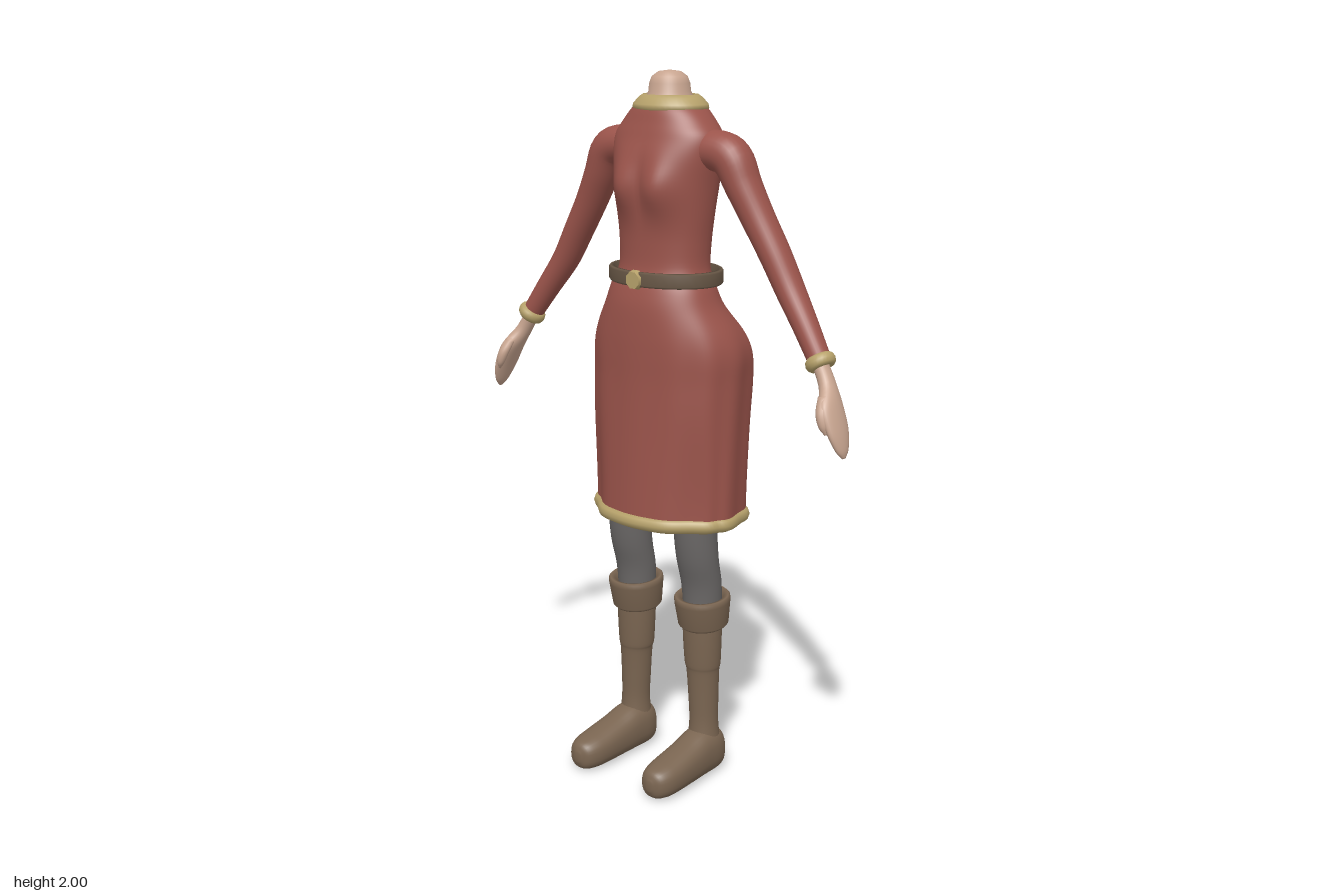
import * as THREE from 'three';

const paint = (name, color, side = THREE.FrontSide) => {
  const m = new THREE.MeshStandardMaterial({ color, side });
  m.name = name;
  return m;
};
const X = new THREE.Vector3(1, 0, 0), Y = new THREE.Vector3(0, 1, 0), Z = new THREE.Vector3(0, 0, 1);

function addMesh(parent, name, geometry, material) {
  const mesh = new THREE.Mesh(geometry, material);
  mesh.name = name;
  parent.add(mesh);
  return mesh;
}

// Superellipse cross-section in the plane spanned by A and B
function ring(c, A, B, ra, rb, n, power, deform) {
  const pts = [], e = 2 / power;
  for (let j = 0; j < n; j++) {
    const t = j / n * Math.PI * 2, co = Math.cos(t), si = Math.sin(t);
    const p = c.clone()
      .addScaledVector(A, ra * Math.sign(co) * Math.abs(co) ** e)
      .addScaledVector(B, rb * Math.sign(si) * Math.abs(si) ** e);
    if (deform) deform(p, t, c);
    pts.push(p);
  }
  return pts;
}

// Smooth skin over sections [x, y, z, radius along A, radius along B]
function loft(sections, A, { T = null, n = 28, steps = 5, power = 2, caps = true, deform = null } = {}) {
  const path = new THREE.CatmullRomCurve3(sections.map(s => new THREE.Vector3(s[0], s[1], s[2])), false, 'catmullrom', 0.5);
  const size = new THREE.CatmullRomCurve3(sections.map(s => new THREE.Vector3(s[3], s[4], 0)), false, 'catmullrom', 0.5);
  const rows = (sections.length - 1) * steps, pos = [], index = [];
  for (let i = 0; i <= rows; i++) {
    const t = i / rows, c = path.getPoint(t), r = size.getPoint(t);
    const B = A.clone().cross(T || path.getTangent(t)).normalize();
    for (const p of ring(c, A, B, r.x, r.y, n, power, deform)) pos.push(p.x, p.y, p.z);
  }
  for (let i = 0; i < rows; i++) for (let j = 0; j < n; j++) {
    const a = i * n + j, b = i * n + (j + 1) % n;
    index.push(a, a + n, b, b, a + n, b + n);
  }
  if (caps) {
    const k = pos.length / 3, last = rows * n;
    pos.push(...path.getPoint(0).toArray(), ...path.getPoint(1).toArray());
    for (let j = 0; j < n; j++) {
      const q = (j + 1) % n;
      index.push(k, j, q, k + 1, last + q, last + j);
    }
  }
  const g = new THREE.BufferGeometry();
  g.setAttribute('position', new THREE.Float32BufferAttribute(pos, 3));
  g.setIndex(index);
  g.computeVertexNormals();
  return g;
}

const lathe = profile => new THREE.LatheGeometry(profile.map(p => new THREE.Vector2(p[0], p[1])), 40);

// Skirt pleats, fuller seat, drawn-in front hem corners and bust shaping
function shapeTunic(p, t, c) {
  const step = THREE.MathUtils.smoothstep;
  const bell = (v, m, w) => Math.exp(-(((v - m) / w) ** 2));
  const fold = 1 - step(p.y, 1.15, 1.4);
  const s = 1 + (0.013 - 0.006 * Math.sin(t)) * fold * Math.cos(12 * (t + Math.PI / 2));
  p.x = c.x + (p.x - c.x) * s;
  p.z = c.z + (p.z - c.z) * s;
  const x = Math.abs(p.x), depth = p.z - c.z;
  p.z -= 0.03 * fold * bell(x, 0.2, 0.07) * step(-depth, 0, 0.08);
  p.z -= 0.02 * (1 - step(p.y, 0.8, 1.15)) * bell(x, 0.18, 0.06) * step(depth, 0, 0.06);
  p.z += 0.032 * bell(p.y, 1.7, 0.07) * bell(x, 0.06, 0.055) * step(depth, 0, 0.05);
}

export function createModel() {
  const model = new THREE.Group();
  const cloth = paint('red cloth', 0x9b544b, THREE.DoubleSide);
  const trim = paint('gold trim', 0xb7a26b);
  const belt = paint('belt leather', 0x685746);
  const boot = paint('boot leather', 0x7a6551);
  const hose = paint('grey hose', 0x6b6867);
  const skin = paint('skin', 0xc8a590);

  // Tunic and skirt in one piece, open at the hem
  addMesh(model, 'tunic', loft([
    [0, 0.78, -0.025, 0.228, 0.152],
    [0, 0.9, -0.028, 0.23, 0.15],
    [0, 1.05, -0.035, 0.232, 0.151],
    [0, 1.17, -0.043, 0.234, 0.155],
    [0, 1.25, -0.046, 0.235, 0.158],
    [0, 1.31, -0.04, 0.218, 0.151],
    [0, 1.38, -0.022, 0.178, 0.128],
    [0, 1.43, -0.018, 0.158, 0.112],
    [0, 1.48, -0.022, 0.137, 0.098],
    [0, 1.55, -0.025, 0.137, 0.098],
    [0, 1.63, -0.028, 0.145, 0.103],
    [0, 1.71, -0.033, 0.154, 0.11],
    [0, 1.78, -0.035, 0.164, 0.11],
    [0, 1.83, -0.04, 0.165, 0.102],
    [0, 1.865, -0.043, 0.142, 0.094],
    [0, 1.908, -0.044, 0.1, 0.08],
    [0, 1.922, -0.044, 0.06, 0.055],
  ], X, { T: Y, n: 96, power: 2.15, caps: false, deform: shapeTunic }), cloth);

  // Hem trim following the pleats
  const hemLine = ring(new THREE.Vector3(0, 0.785, -0.025), X, Z, 0.224, 0.15, 96, 2.15, shapeTunic);
  const hem = new THREE.TubeGeometry(new THREE.CatmullRomCurve3(hemLine, true), 144, 0.015, 8, true);
  hem.translate(0, -0.785, 0).scale(1, 1.3, 1).translate(0, 0.785, 0);
  addMesh(model, 'hemTrim', hem, trim);

  // Neck and sloping collar
  addMesh(model, 'neck', lathe([
    [0, 1.9], [0.075, 1.9], [0.066, 1.925], [0.057, 1.945], [0.055, 1.965], [0.048, 1.983], [0.03, 1.996], [0, 2],
  ]).translate(0, 0, -0.042), skin);
  const collar = addMesh(model, 'collar', lathe([
    [0.075, 1.896], [0.1, 1.895], [0.11, 1.901], [0.108, 1.912], [0.092, 1.929], [0.08, 1.937], [0.071, 1.932], [0.075, 1.896],
  ]), trim);
  collar.scale.z = 0.83;
  collar.position.z = -0.046;

  // Loose belt with a buckle
  const band = addMesh(model, 'belt', lathe([
    [0.157, 1.438], [0.168, 1.438], [0.172, 1.443], [0.172, 1.473], [0.168, 1.478], [0.157, 1.478], [0.157, 1.438],
  ]), belt);
  band.scale.z = 0.77;
  band.position.z = -0.027;
  const buckle = addMesh(model, 'buckle', new THREE.CylinderGeometry(0.024, 0.028, 0.016, 8), trim);
  buckle.rotation.set(Math.PI / 2, Math.PI / 8, 0);
  buckle.position.set(0, 1.456, 0.104);

  for (const s of [1, -1]) {
    const side = s > 0 ? 'left' : 'right';
    const flip = rows => rows.map(([x, ...rest]) => [x * s, ...rest]);

    // Sleeve, cuff and hand
    const arm = new THREE.Group();
    arm.name = side + 'Arm';
    model.add(arm);
    addMesh(arm, 'sleeve', loft(flip([
      [0.1, 1.79, -0.042, 0.06, 0.058],
      [0.16, 1.797, -0.042, 0.058, 0.054],
      [0.213, 1.778, -0.042, 0.056, 0.055],
      [0.25, 1.71, -0.045, 0.052, 0.048],
      [0.295, 1.63, -0.05, 0.047, 0.044],
      [0.35, 1.54, -0.053, 0.045, 0.041],
      [0.4, 1.455, -0.052, 0.042, 0.038],
      [0.46, 1.37, -0.04, 0.036, 0.034],
      [0.525, 1.275, -0.025, 0.03, 0.03],
    ]), Z), cloth);
    const cuff = addMesh(arm, 'cuff', new THREE.TorusGeometry(0.028, 0.013, 10, 28), trim);
    cuff.scale.z = 1.35;
    cuff.position.set(s * 0.519, 1.285, -0.026);
    cuff.quaternion.setFromUnitVectors(Z, new THREE.Vector3(s * 0.55, -0.83, 0.12).normalize());
    addMesh(arm, 'hand', loft(flip([
      [0.51, 1.295, -0.027, 0.022, 0.02],
      [0.545, 1.235, -0.019, 0.026, 0.021],
      [0.573, 1.185, 0.003, 0.044, 0.022],
      [0.6, 1.125, 0.008, 0.042, 0.018],
      [0.617, 1.078, 0.01, 0.025, 0.012],
      [0.624, 1.056, 0.011, 0.006, 0.004],
    ]), Z), skin);
    addMesh(arm, 'thumb', loft(flip([
      [0.56, 1.21, 0.02, 0.012, 0.013],
      [0.571, 1.173, 0.041, 0.014, 0.015],
      [0.582, 1.14, 0.047, 0.011, 0.012],
      [0.59, 1.118, 0.045, 0.003, 0.003],
    ]), Z, { n: 14 }), skin);

    // Leg, boot shaft, turned-down top and foot
    const leg = new THREE.Group();
    leg.name = side + 'Leg';
    model.add(leg);
    addMesh(leg, 'hose', loft(flip([
      [0.115, 1.2, -0.03, 0.085, 0.085],
      [0.12, 0.95, -0.016, 0.072, 0.073],
      [0.122, 0.77, -0.012, 0.063, 0.062],
      [0.123, 0.67, -0.02, 0.061, 0.058],
      [0.123, 0.58, -0.04, 0.058, 0.056],
      [0.124, 0.47, -0.045, 0.053, 0.053],
    ].reverse()), X, { T: Y }), hose);
    addMesh(leg, 'bootShaft', loft(flip([
      [0.132, 0.08, -0.045, 0.05, 0.052],
      [0.131, 0.16, -0.045, 0.042, 0.042],
      [0.129, 0.24, -0.045, 0.044, 0.043],
      [0.127, 0.32, -0.044, 0.048, 0.046],
      [0.126, 0.345, -0.044, 0.053, 0.05],
      [0.125, 0.42, -0.043, 0.057, 0.053],
      [0.124, 0.5, -0.044, 0.059, 0.056],
    ]), X, { T: Y }), boot);
    const top = addMesh(leg, 'bootCuff', lathe([
      [0.052, -0.042], [0.065, -0.046], [0.072, -0.038], [0.08, 0.03], [0.08, 0.042],
      [0.075, 0.047], [0.063, 0.044], [0.057, 0.02], [0.052, -0.042],
    ]), boot);
    top.position.set(s * 0.125, 0.504, -0.044);
    top.rotation.x = 0.08;
    addMesh(leg, 'foot', loft(flip([
      [0.132, 0.06, -0.106, 0.012, 0.03],
      [0.132, 0.066, -0.095, 0.04, 0.058],
      [0.132, 0.073, -0.06, 0.054, 0.069],
      [0.133, 0.073, -0.01, 0.056, 0.069],
      [0.135, 0.064, 0.05, 0.056, 0.06],
      [0.137, 0.056, 0.12, 0.056, 0.052],
      [0.138, 0.052, 0.165, 0.051, 0.047],
      [0.138, 0.05, 0.195, 0.036, 0.038],
      [0.138, 0.05, 0.208, 0.01, 0.015],
    ]), X, { T: Z, power: 2.4 }), boot);
  }
  return model;
}
